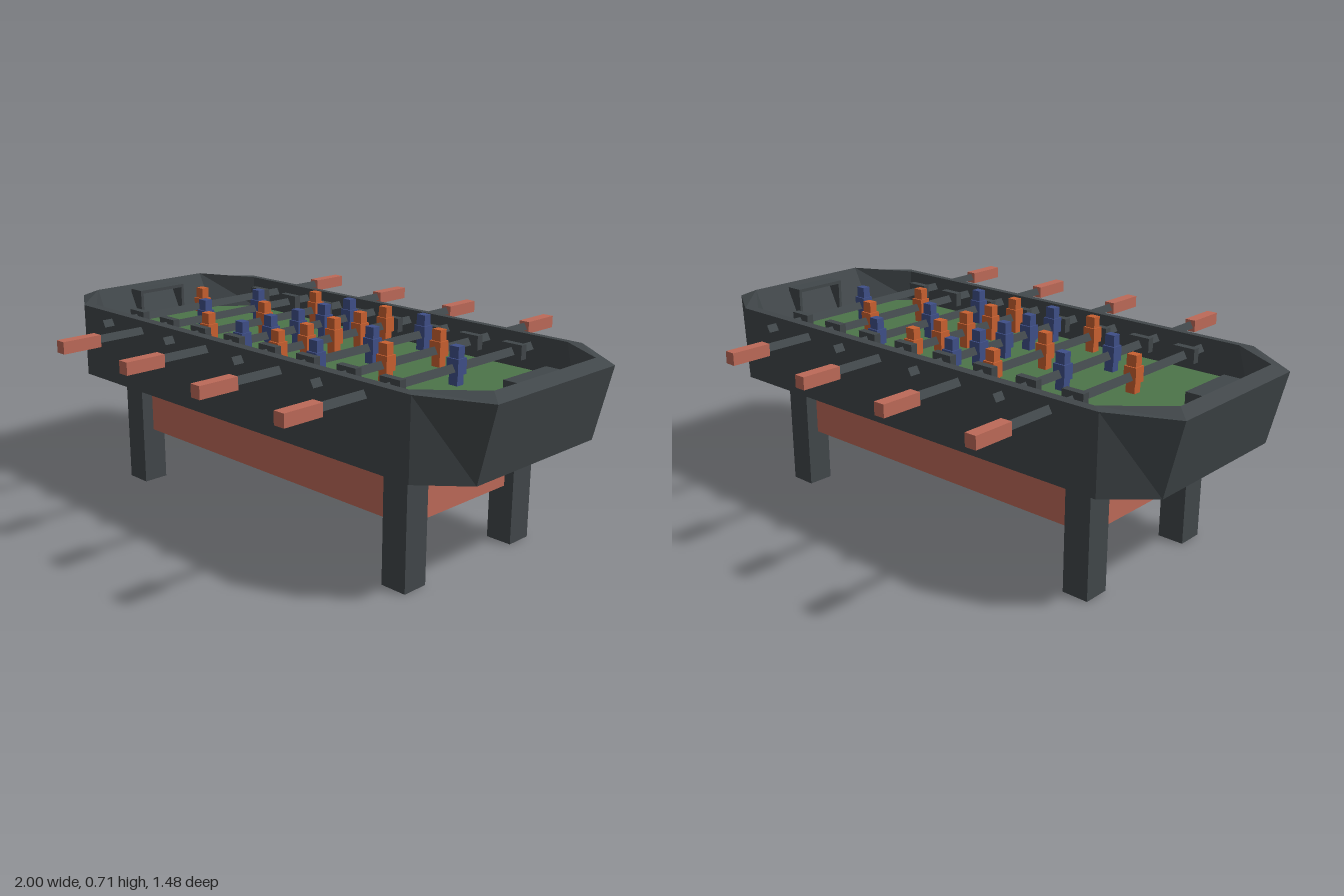
import * as THREE from 'three';

const flat = (name, color) => {
  const m = new THREE.MeshStandardMaterial({ color });
  m.name = name;
  return m;
};

export function createModel() {
  const charcoal = flat('charcoal', 0x41474a);
  const terracotta = flat('terracotta', 0xbd6a58);
  const green = flat('fieldGreen', 0x4d7549);
  const orange = flat('orange', 0xc96030);
  const blue = flat('blue', 0x3f4f88);

  const model = new THREE.Group();
  model.name = 'tableFootballGame';

  const box = (parent, name, mat, w, h, d, x, y, z) => {
    const mesh = new THREE.Mesh(new THREE.BoxGeometry(w, h, d), mat);
    mesh.name = name;
    mesh.position.set(x, y, z);
    parent.add(mesh);
    return mesh;
  };

  // Eight-sided outline: long-side corners (xc, zc) and end corners (xe, ze)
  const ring = (xc, zc, yc, xe, ze, ye) => [
    [xe, ye, ze], [xc, yc, zc], [-xc, yc, zc], [-xe, ye, ze],
    [-xe, ye, -ze], [-xc, yc, -zc], [xc, yc, -zc], [xe, ye, -ze],
  ];
  const faces = (name, mat, triangles) => {
    const g = new THREE.BufferGeometry();
    g.setAttribute('position', new THREE.Float32BufferAttribute(triangles.flat(), 3));
    g.computeVertexNormals();
    const mesh = new THREE.Mesh(g, mat);
    mesh.name = name;
    model.add(mesh);
  };

  // Cabinet: underside, flared outer wall, rim and inner wall
  const rings = [
    ring(0.8, 0.415, 0.41, 0.94, 0.288, 0.41),
    ring(0.8, 0.415, 0.673, 1.0, 0.288, 0.662),
    ring(0.765, 0.385, 0.675, 0.955, 0.25, 0.684),
    ring(0.765, 0.385, 0.555, 0.89, 0.25, 0.555),
  ];
  const shell = [];
  const field = [];
  for (let i = 0; i < 8; i++) {
    const j = (i + 1) % 8;
    for (let r = 0; r < 3; r++) {
      const a = rings[r], b = rings[r + 1];
      shell.push(a[i], b[i], b[j], a[i], b[j], a[j]);
    }
    shell.push([0, 0.41, 0], rings[0][i], rings[0][j]);
    field.push([0, 0.555, 0], rings[3][j], rings[3][i]);
  }
  faces('cabinet', charcoal, shell);
  faces('playingField', green, field);

  // Goals, legs and end panels
  for (const sx of [-1, 1]) {
    const goal = new THREE.Group();
    goal.name = 'goal';
    model.add(goal);
    box(goal, 'goalTop', charcoal, 0.065, 0.012, 0.21, sx * 0.91, 0.664, 0);
    for (const sz of [-1, 1]) {
      box(goal, 'goalSide', charcoal, 0.065, 0.105, 0.012, sx * 0.91, 0.607, sz * 0.099);
      box(model, 'leg', charcoal, 0.095, 0.41, 0.095, sx * 0.658, 0.205, sz * 0.263);
    }
    box(model, 'endPanel', terracotta, 0.03, 0.21, 0.43, sx * 0.655, 0.305, 0);
  }
  box(model, 'endPanelLining', orange, 0.004, 0.21, 0.43, -0.638, 0.305, 0);
  for (const sz of [-1, 1]) {
    box(model, 'sidePanel', terracotta, 1.222, 0.21, 0.03, 0, 0.305, sz * 0.25);
  }

  // Player: head, torso and foot
  const addPlayer = (parent, mat, z) => {
    const player = new THREE.Group();
    player.name = 'player';
    player.position.set(0, 0, z);
    parent.add(player);
    box(player, 'head', mat, 0.036, 0.04, 0.03, 0, 0.686, 0);
    box(player, 'torso', mat, 0.046, 0.052, 0.042, 0, 0.642, 0);
    box(player, 'foot', mat, 0.034, 0.038, 0.03, 0, 0.6, 0);
  };

  // Three-sided rod with its ridge on top
  const rodLength = 1.06;
  const rodShape = new THREE.Shape(
    [90, 210, 330].map((d) => {
      const t = THREE.MathUtils.degToRad(d);
      return new THREE.Vector2(Math.cos(t) * 0.016, Math.sin(t) * 0.016);
    })
  );
  const rodGeometry = new THREE.ExtrudeGeometry(rodShape, { depth: rodLength, bevelEnabled: false });
  rodGeometry.translate(0, 0, -rodLength / 2);

  // Player positions along each rod
  const one = [0], two = [-0.128, 0.128], three = [-0.257, 0, 0.257];
  const five = [-0.257, -0.128, 0, 0.128, 0.257];
  const rows = [one, two, three, five, five, three, two, one];
  rows.forEach((spots, i) => {
    const side = i % 2 ? 1 : -1; // end that carries the handle
    const row = new THREE.Group();
    row.name = 'rodRow';
    row.position.x = (i - 3.5) * 0.178;
    model.add(row);

    const rod = new THREE.Mesh(rodGeometry, charcoal);
    rod.name = 'rod';
    rod.position.set(0, 0.635, side * 0.075);
    row.add(rod);

    box(row, 'handle', terracotta, 0.04, 0.042, 0.145, 0, 0.635, side * 0.668);
    for (const sz of [-1, 1]) {
      box(row, 'bumper', charcoal, 0.08, 0.05, 0.026, 0, 0.638, sz * 0.293);
    }
    spots.forEach((z) => addPlayer(row, side > 0 ? blue : orange, z));
  });

  return model;
}
